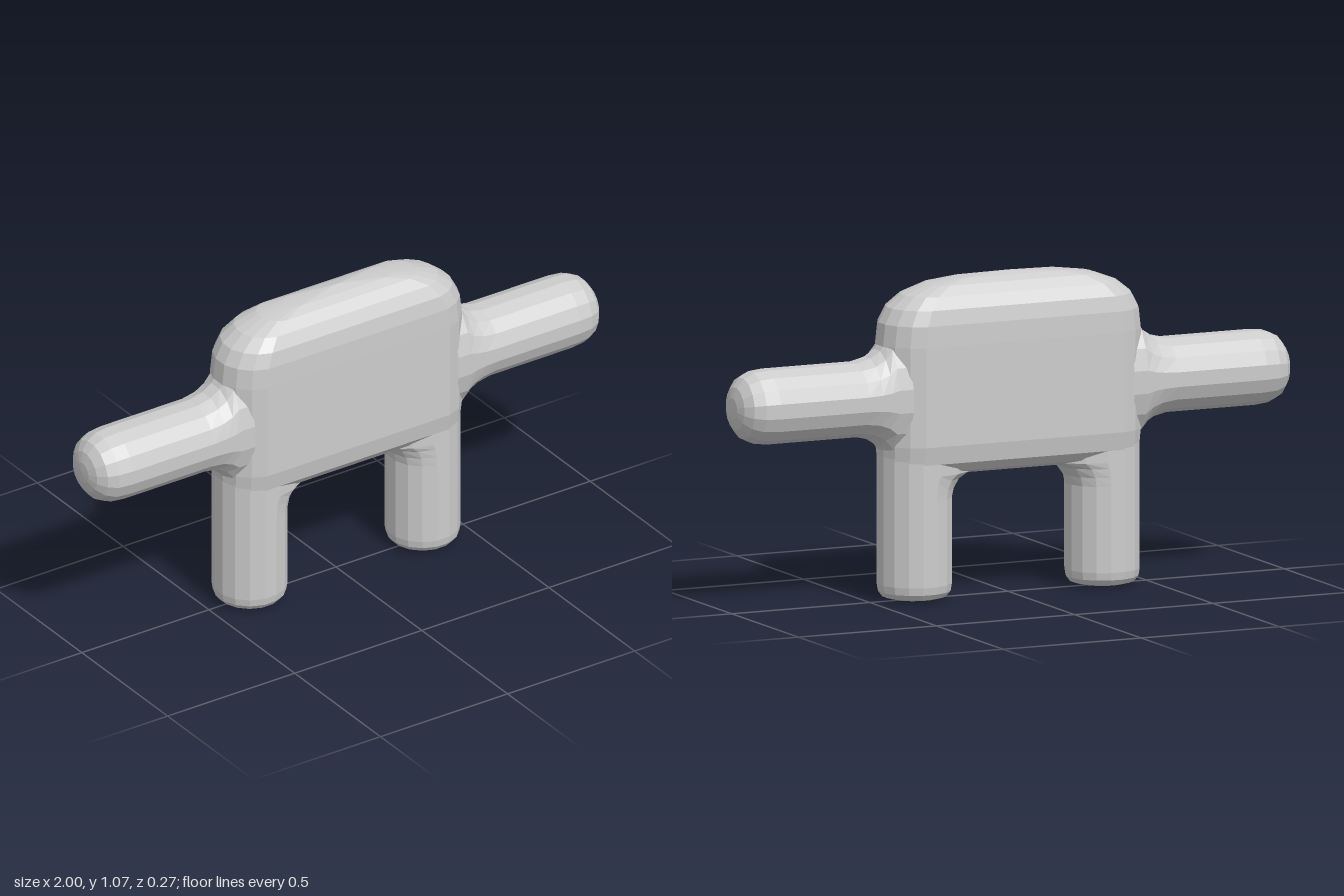
import * as THREE from 'three';

const SIDES = 16;
const STEP = (Math.PI * 2) / SIDES;

// Faceted round form; profile is [radius, height] from bottom to top, flats facing the axes
function turned(profile) {
  const k = 1 / Math.cos(STEP / 2);
  const points = profile.map(([r, y]) => new THREE.Vector2(r * k, y));
  return new THREE.LatheGeometry(points, SIDES, STEP / 2);
}

// Move every vertex by a rule
function reshape(geometry, rule) {
  const pos = geometry.attributes.position;
  const v = new THREE.Vector3();
  for (let i = 0; i < pos.count; i++) {
    v.fromBufferAttribute(pos, i);
    rule(v);
    pos.setXYZ(i, v.x, v.y, v.z);
  }
  geometry.computeVertexNormals();
  return geometry;
}

// Linear lookup in a list of [position, value]
function lookup(list, t) {
  if (t <= list[0][0]) return list[0][1];
  for (let i = 1; i < list.length; i++) {
    const [a, va] = list[i - 1], [b, vb] = list[i];
    if (t <= b) return va + ((vb - va) * (t - a)) / (b - a);
  }
  return list[list.length - 1][1];
}

// Body: stacked stadium sections, [height, half width, half depth]
function bodyGeometry() {
  const rings = [
    [0.41, 0, 0], [0.415, 0.4, 0.05], [0.43, 0.44, 0.095], [0.46, 0.46, 0.122],
    [0.52, 0.465, 0.133], [0.85, 0.465, 0.133], [0.92, 0.457, 0.131],
    [0.97, 0.43, 0.122], [1.01, 0.38, 0.1], [1.04, 0.3, 0.07],
    [1.055, 0.2, 0.04], [1.065, 0, 0],
  ];
  const spread = rings.map(([y, hx, hz]) => [y, hx - hz]);
  return reshape(turned(rings.map(([y, , hz]) => [hz, y])), (v) => {
    v.x += Math.sign(v.x) * lookup(spread, v.y);
  });
}

// Arm: rounded tip, root flaring up and down into the body
function armGeometry(side) {
  const r = 0.122;
  const flare = [[0.45, 0.07], [0.475, 0.035], [0.51, 0.012], [0.56, 0]];
  const g = turned([
    [r, 0.4], [r, 0.45], [r, 0.475], [r, 0.51], [r, 0.56], [r, 0.88],
    [0.117, 0.93], [0.1, 0.965], [0.07, 0.988], [0.035, 0.998], [0, 1],
  ]);
  reshape(g, (v) => { v.x *= 1 + lookup(flare, v.y) / r; });
  g.rotateZ((-side * Math.PI) / 2);
  return g;
}

// Leg: soft foot edge, inner side flaring into the underside of the body
function legGeometry(side) {
  const r = 0.122;
  const flare = [[0.34, 0], [0.37, 0.008], [0.4, 0.03], [0.42, 0.07]];
  const g = turned([
    [0, 0], [0.08, 0.006], [0.105, 0.013], [0.118, 0.03], [r, 0.055],
    [r, 0.34], [r, 0.37], [r, 0.4], [r, 0.42], [r, 0.52],
  ]);
  return reshape(g, (v) => {
    if (v.x * side < 0) v.x *= 1 + lookup(flare, v.y) / r;
  });
}

export function createModel() {
  const model = new THREE.Group();
  model.name = 'blockyFigure';
  const grey = new THREE.MeshStandardMaterial({ color: 0xcccccc, flatShading: true });
  grey.name = 'light grey';

  const add = (name, geometry, x, y) => {
    const mesh = new THREE.Mesh(geometry, grey);
    mesh.name = name;
    mesh.position.set(x, y, 0);
    model.add(mesh);
  };

  add('body', bodyGeometry(), 0, 0);
  for (const side of [1, -1]) {
    const label = side > 0 ? 'left' : 'right';
    add(label + 'Arm', armGeometry(side), 0, 0.677);
    add(label + 'Leg', legGeometry(side), side * 0.34, 0);
  }
  return model;
}
